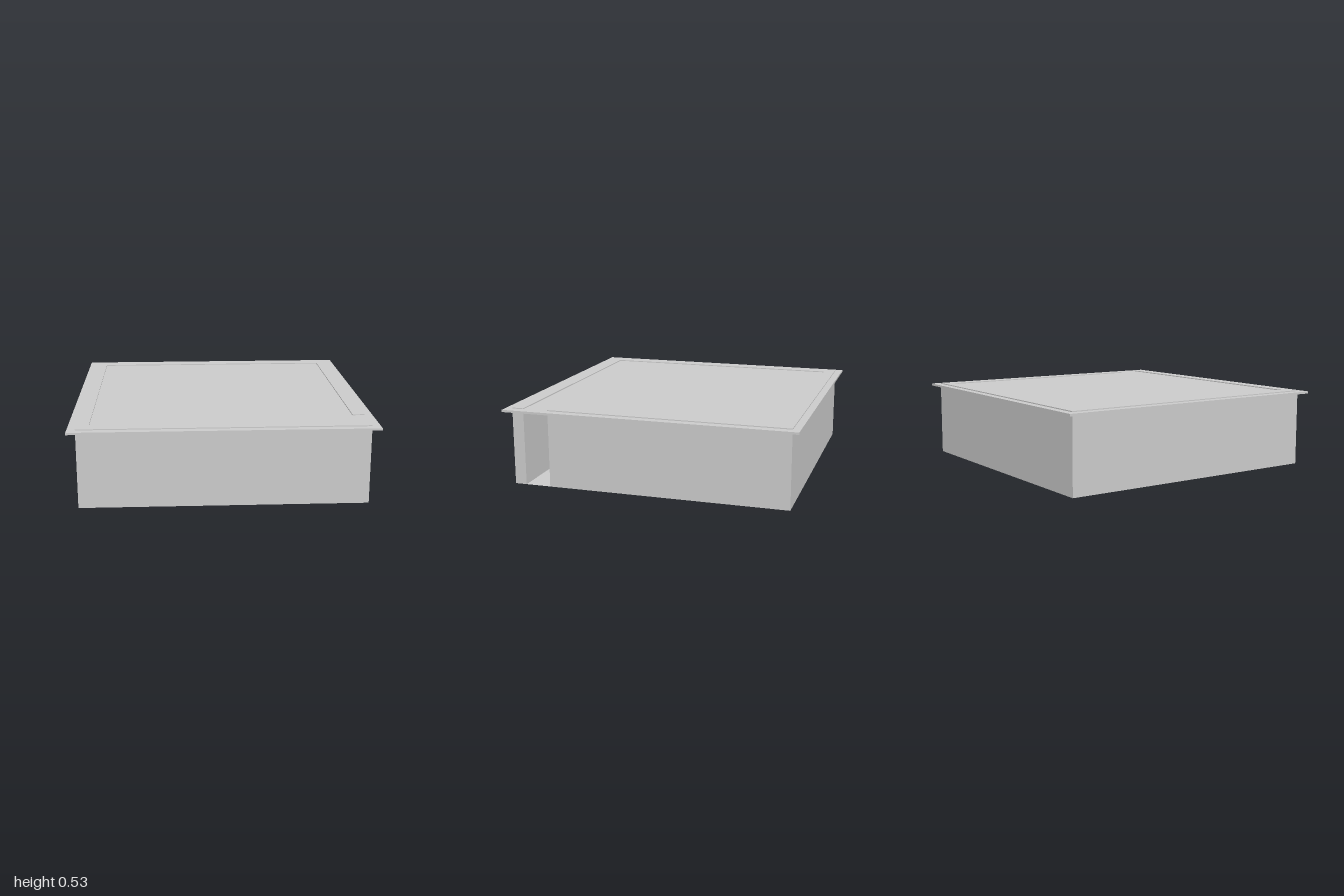
import * as THREE from 'three';

const OUTER = 0.945, INNER = 0.865;   // wall faces
const DOOR_BACK = 0.69;               // doorway runs from here to the front wall
const WALL_TOP = 0.53;

const material = new THREE.MeshStandardMaterial({ color: 0xcccccc, side: THREE.DoubleSide });

// Plan outline from [x, z] points
function plan(points) {
  return new THREE.Shape(points.map(([x, z]) => new THREE.Vector2(x, -z)));
}

// Hollow walls: extruded plan with a top, but open underneath
function wallGeometry(shape) {
  const geometry = new THREE.ExtrudeGeometry(shape, { depth: WALL_TOP, bevelEnabled: false });
  const skip = geometry.groups[0].count / 2; // lower cap comes first
  const open = new THREE.BufferGeometry();
  for (const name of ['position', 'normal', 'uv']) {
    const { array, itemSize } = geometry.attributes[name];
    open.setAttribute(name, new THREE.BufferAttribute(array.slice(skip * itemSize), itemSize));
  }
  return open.rotateX(-Math.PI / 2);
}

export function createModel() {
  const group = new THREE.Group();
  group.name = 'room';
  const add = (name, geometry, y = 0) => {
    const mesh = new THREE.Mesh(geometry, material);
    mesh.name = name;
    mesh.position.y = y;
    group.add(mesh);
  };

  // One continuous wall around the room, broken by the doorway
  add('walls', wallGeometry(plan([
    [OUTER, DOOR_BACK], [OUTER, -OUTER], [-OUTER, -OUTER], [-OUTER, OUTER],
    [OUTER, OUTER], [OUTER, INNER], [-INNER, INNER], [-INNER, -INNER],
    [INNER, -INNER], [INNER, DOOR_BACK],
  ])));

  // Thin floor between the walls, reaching out through the doorway
  add('floor', new THREE.ShapeGeometry(plan([
    [-INNER, INNER], [OUTER, INNER], [OUTER, DOOR_BACK], [INNER, DOOR_BACK],
    [INNER, -INNER], [-INNER, -INNER],
  ])).rotateX(-Math.PI / 2));

  // Overhanging roof slab, with the wall tops standing just proud of it
  add('roof', new THREE.BoxGeometry(2, 0.015, 1.99), 0.516);

  return group;
}
